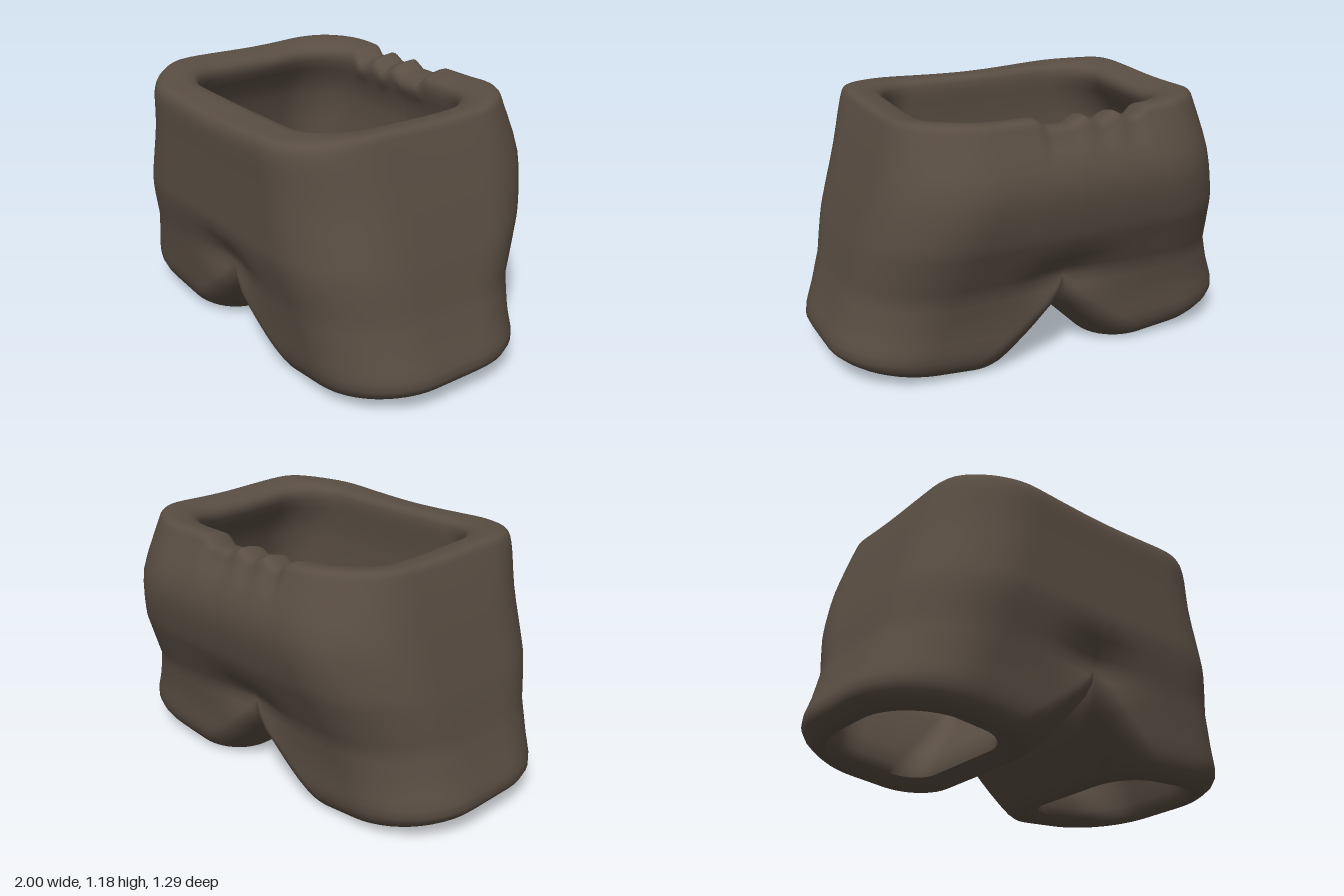
import * as THREE from 'three';
import { toCreasedNormals } from 'three/addons/utils/BufferGeometryUtils.js';

const { smoothstep, clamp, lerp, degToRad } = THREE.MathUtils;

// Key sections of one half: outer x, front z, back z, outer corner radius, outer y,
// then for the legs also inner x, inner corner radius, inner y
const CREST = [.665, .575, -.495, .29, 1.172];
const HEM = [.9, .43, -.36, .3, .064, .27, .2, .012];

const OUTER_BODY = [
  CREST,
  [.71, .62, -.545, .32, 1.167],
  [.735, .643, -.572, .34, 1.11],
  [.795, .637, -.642, .39, .91],
  [.852, .633, -.608, .39, .7],
  [.88, .627, -.565, .39, .59],
  [.915, .585, -.485, .38, .41]
];
const OUTER_LEG = [
  [.958, .562, -.46, .37, .27, .04, .14, .235],
  [.998, .542, -.453, .37, .14, .145, .22, .09],
  [.94, .49, -.41, .34, .07, .225, .21, .006],
  HEM
];
const INNER_BODY = [
  CREST,
  [.58, .475, -.415, .23, 1.15],
  [.565, .455, -.4, .22, 1.08],
  [.67, .47, -.45, .24, .88],
  [.75, .45, -.4, .22, .47]
];
const INNER_LEG = [
  [.76, .448, -.395, .22, .45, .085, .02, .465],
  [.8, .43, -.35, .22, .38, .12, .08, .38],
  [.86, .365, -.28, .2, .13, .33, .12, .08],
  HEM
];

// Smooth in-between sections along a list of key sections
function refine(rows, steps) {
  const out = [];
  const last = rows.length - 1;
  for (let i = 0; i < last; i++) {
    const [p, a, b, q] = [rows[Math.max(i - 1, 0)], rows[i], rows[i + 1], rows[Math.min(i + 2, last)]];
    for (let k = 0; k < steps; k++) {
      const t = k / steps, t2 = t * t, t3 = t2 * t;
      out.push(a.map((v, n) => v * (2 * t3 - 3 * t2 + 1) + b[n] * (3 * t2 - 2 * t3)
        + (b[n] - p[n]) / 2 * (t3 - 2 * t2 + t) + (q[n] - v) / 2 * (t3 - t2)));
    }
  }
  return [...out, rows[last]];
}

// Height change of the waist rim: lower in front, notched with small ridges behind
function rimOffset(x, z) {
  let y = -smoothstep(z, .38, .64) * (.05 - .02 * smoothstep(Math.abs(x), 0, .6));
  y -= .01 * Math.exp(-(((z + .05) / .25) ** 2));
  y += .008 * smoothstep(-z, .2, .45) * smoothstep(Math.abs(x), .3, .55);
  if (z < -.38) {
    const notch = smoothstep(x, -.34, -.29) * (1 - smoothstep(x, .14, .19));
    let ridge = 0;
    for (const c of [-.19, -.04]) ridge += Math.max(0, 1 - Math.abs(x - c) / .06);
    y += notch * (.032 * ridge - .04);
  }
  return y;
}

// Half outline in two runs: around the outside (front to back) and along the inner leg
function section([xo, zf, zb, ro, yo, xi, ri, yi], mirror, sag, dent) {
  const arc = (list, cx, cz, r, from, to, n) => {
    for (let k = 0; k <= n; k++) {
      const a = degToRad(lerp(from, to, k / n));
      list.push([cx + r * Math.cos(a), cz + r * Math.sin(a)]);
    }
  };
  const straight = (list, n, x0, z0, x1, z1) => {
    for (let k = 1; k < n; k++) list.push([lerp(x0, x1, k / n), lerp(z0, z1, k / n)]);
  };
  const outer = [], inner = [];
  arc(outer, xi + ri, zf - ri, ri, 135, 90, 5);
  straight(outer, 20, xi + ri, zf, xo - ro, zf);
  arc(outer, xo - ro, zf - ro, ro, 90, 0, 12);
  straight(outer, 10, xo, zf - ro, xo, zb + ro);
  arc(outer, xo - ro, zb + ro, ro, 0, -90, 12);
  straight(outer, 20, xo - ro, zb, xi + ri, zb);
  arc(outer, xi + ri, zb + ri, ri, -90, -135, 5);
  arc(inner, xi + ri, zb + ri, ri, -135, -180, 5);
  straight(inner, 16, xi, zb + ri, xi, zf - ri);
  arc(inner, xi + ri, zf - ri, ri, 180, 135, 5);

  const rim = smoothstep(yo, 1, 1.14);
  const place = ([x, z]) => {
    const depth = clamp((z - zb) / (zf - zb), 0, 1);
    const arch = Math.sqrt(Math.max(0, Math.sin(Math.PI * depth)));
    const near = Math.max(0, 1 - (x - xi) / .2);
    const y = lerp(yi, yo, (x - xi) / (xo - xi)) + rim * rimOffset(x * mirror, z) - sag * arch * near;
    // soft hollow above the crotch, front and back
    const hollow = dent * Math.exp(-((x / .2) ** 2) - ((y - .43) / .09) ** 2);
    return [x * mirror, y, z - hollow * (2 * depth - 1)];
  };
  return { outer: outer.map(place), inner: inner.map(place) };
}

// Skin body and legs; the crotch sags by the given amount, fading out over the next sections
function loft(body, leg, sag, dent, inward) {
  const whole = ([xo, zf, zb, ro, y]) => [xo, zf, zb, ro, y, 0, 0, y];
  const torso = refine(body, 3).map(whole);
  const split = torso.length - 1;
  const rows = [...torso, ...refine([torso[split], ...leg], 3).slice(1)];
  const pos = [];
  for (const mirror of [1, -1]) {
    const rings = rows.map((r, i) =>
      section(r, mirror, i < split ? 0 : sag * Math.max(0, 1 - (i - split) / 3), dent));
    const flip = (mirror < 0) !== inward;
    const tri = (a, b, c) => pos.push(...a, ...(flip ? c : b), ...(flip ? b : c));
    const skin = (p, q) => {
      for (let j = 0; j < p.length - 1; j++) {
        tri(p[j], q[j], p[j + 1]);
        tri(p[j + 1], q[j], q[j + 1]);
      }
    };
    for (let i = 0; i < rows.length - 1; i++) {
      skin(rings[i].outer, rings[i + 1].outer);
      if (i >= split) skin(rings[i].inner, rings[i + 1].inner);
    }
  }
  const geo = new THREE.BufferGeometry();
  geo.setAttribute('position', new THREE.Float32BufferAttribute(pos, 3));
  return toCreasedNormals(geo, .75);
}

export function createModel() {
  const group = new THREE.Group();
  group.name = 'shorts';
  const material = new THREE.MeshStandardMaterial({ color: 0x5a4e43 });
  const add = (name, geo) => {
    const mesh = new THREE.Mesh(geo, material);
    mesh.name = name;
    group.add(mesh);
  };
  add('outerCloth', loft(OUTER_BODY, OUTER_LEG, .13, .05, false));
  add('innerLining', loft(INNER_BODY, INNER_LEG, 0, 0, true));
  return group;
}
